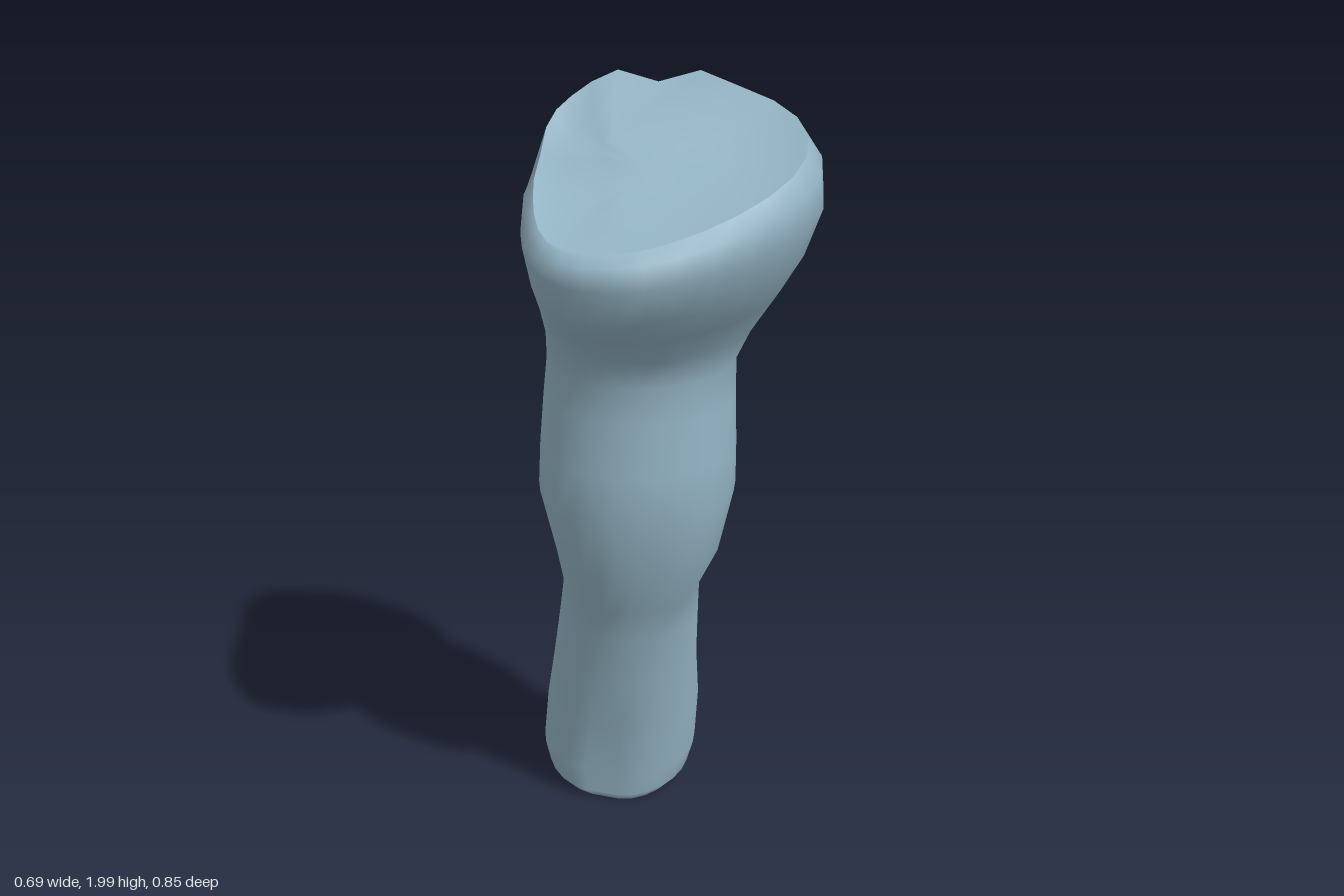
import * as THREE from 'three';

const N = 28; // points around each cross-section

// Each section: front z, front y, back z, back y, min x, max x, flare (0 oval .. 1 rounded triangle)
const LIMB = [
  [-0.085, 0.005, -0.395, 0.075, -0.300, 0.040, 0],
  [-0.075, 0.025, -0.420, 0.095, -0.328, 0.065, 0],
  [-0.065, 0.10, -0.425, 0.14, -0.340, 0.082, 0],
  [-0.030, 0.28, -0.405, 0.28, -0.323, 0.090, 0],
  [0.008, 0.44, -0.350, 0.44, -0.298, 0.083, 0],
  [0.045, 0.60, -0.295, 0.60, -0.275, 0.085, 0],
  [0.085, 0.70, -0.262, 0.73, -0.260, 0.087, 0],
  [0.150, 0.82, -0.265, 0.85, -0.275, 0.135, 0],
  [0.185, 1.00, -0.265, 1.02, -0.310, 0.172, 0],
  [0.180, 1.12, -0.255, 1.12, -0.303, 0.172, 0],
  [0.172, 1.25, -0.230, 1.25, -0.290, 0.168, 0],
  [0.172, 1.34, -0.200, 1.36, -0.278, 0.167, 0.1],
  [0.200, 1.41, -0.180, 1.46, -0.277, 0.205, 0.3],
  [0.285, 1.49, -0.165, 1.58, -0.287, 0.260, 0.6],
  [0.375, 1.56, -0.168, 1.70, -0.297, 0.305, 0.9],
  [0.425, 1.65, -0.172, 1.83, -0.310, 0.340, 1],
  [0.415, 1.70, -0.150, 1.93, -0.303, 0.332, 1],
  [0.385, 1.722, -0.120, 1.99, -0.280, 0.300, 1],
];
const DISH = [
  LIMB[LIMB.length - 1],
  [0.300, 1.745, -0.060, 1.925, -0.215, 0.215, 1],
  [0.210, 1.780, 0.030, 1.870, -0.110, 0.110, 1],
];

// Uneven height of the cut rim: low on the -x side, with a small nick, and a dip at the back
function rimOffset(x, z) {
  const low = -0.05 * THREE.MathUtils.smoothstep(-x, 0.08, 0.25);
  const nick = -0.035 * Math.exp(-((x + 0.28) ** 2 + (z - 0.04) ** 2) / 0.003);
  const dip = z < 0 ? -0.03 * Math.exp(-(x ** 2) / 0.0015) : 0;
  const peak = z < 0 ? 0.015 * Math.exp(-((x - 0.07) ** 2) / 0.003) : 0;
  return low + nick + dip + peak;
}

function sectionPoint([zf, yf, zb, yb, x0, x1, flare], i) {
  const a = (i / N) * Math.PI * 2;
  const c = Math.cos(a), s = Math.sin(a);
  let x = (x0 + x1) / 2 + (c * (x1 - x0)) / 2;
  x -= 0.115 * flare * (s * s + 0.8 * s * Math.max(c, 0));
  let z = (zf + zb) / 2 + (s * (zf - zb)) / 2;
  let y = (yf + yb) / 2 + (s * (yf - yb)) / 2;
  if (y > 1.6) y += rimOffset(x, z) * THREE.MathUtils.smoothstep(y, 1.65, 1.88);
  // shallow groove low on the front and a hollow at the inner bend
  if (s > 0) {
    z -= 0.03 * Math.exp(-((x + 0.17) ** 2) / 0.002 - ((y - 0.15) ** 2) / 0.02);
    z -= 0.02 * Math.exp(-((x + 0.04) ** 2) / 0.004 - ((y - 0.84) ** 2) / 0.006);
  }
  return [x, y, z];
}

// Skin a stack of sections; optional end points close the first or last one
function loft(sections, { start, end } = {}) {
  const pos = [], index = [];
  for (const sec of sections) for (let i = 0; i < N; i++) pos.push(...sectionPoint(sec, i));
  for (let r = 0; r < sections.length - 1; r++) {
    for (let i = 0; i < N; i++) {
      const a = r * N + i, b = r * N + ((i + 1) % N);
      index.push(a, a + N, b, b, a + N, b + N);
    }
  }
  const cap = (point, row, flip) => {
    const k = pos.length / 3;
    pos.push(...point);
    for (let i = 0; i < N; i++) {
      const a = row * N + i, b = row * N + ((i + 1) % N);
      flip ? index.push(k, a, b) : index.push(k, b, a);
    }
  };
  if (start) cap(start, 0, true);
  if (end) cap(end, sections.length - 1, false);
  const geo = new THREE.BufferGeometry();
  geo.setAttribute('position', new THREE.Float32BufferAttribute(pos, 3));
  geo.setIndex(index);
  geo.computeVertexNormals();
  return geo;
}

export function createModel() {
  const group = new THREE.Group();
  group.name = 'limb';
  const skin = new THREE.MeshStandardMaterial({ color: 0x94b4c4 });
  skin.name = 'paleBlue';

  const add = (name, geo) => {
    const mesh = new THREE.Mesh(geo, skin);
    mesh.name = name;
    group.add(mesh);
  };
  // Bent limb with its closed lower end
  add('limbBody', loft(LIMB, { start: [-0.13, 0.035, -0.24] }));
  // Slanted, slightly hollow upper end
  add('upperCut', loft(DISH, { end: [-0.03, 1.825, 0.12] }));
  return group;
}
